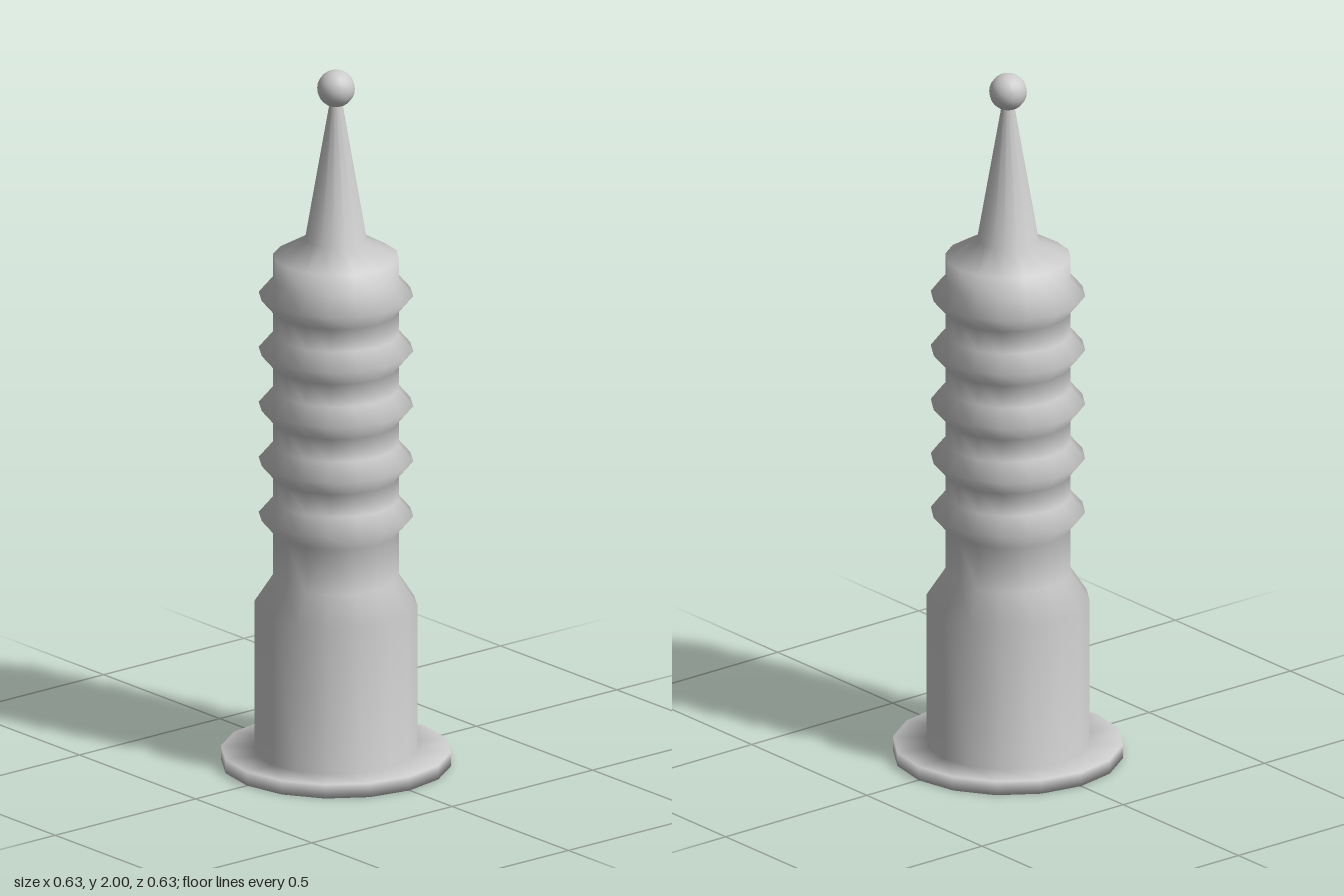
import * as THREE from 'three';

const SIDES = 16;

export function createModel() {
  const model = new THREE.Group();
  const material = new THREE.MeshStandardMaterial({ color: 0xcccccc });

  // Base flange, wide barrel and its sloped shoulder
  const profile = [
    [0, 0], [0.317, 0], [0.317, 0.04], [0.225, 0.04],
    [0.225, 0.46], [0.173, 0.54],
  ];

  // Five evenly spaced V-shaped ribs along the neck
  for (let i = 0; i < 5; i++) {
    const y = 0.718 + i * 0.159;
    profile.push([0.173, y - 0.047], [0.213, y], [0.173, y + 0.047]);
  }

  // Sloped cap and tapering spire
  profile.push([0.173, 1.465], [0.085, 1.515], [0.017, 1.91]);

  const body = new THREE.Mesh(
    new THREE.LatheGeometry(profile.map(([r, y]) => new THREE.Vector2(r, y)), SIDES),
    material,
  );
  body.name = 'ribbedBody';
  model.add(body);

  // Ball on the tip of the spire
  const ball = new THREE.Mesh(new THREE.SphereGeometry(0.052, SIDES, 12), material);
  ball.name = 'tipBall';
  ball.position.y = 1.948;
  model.add(ball);

  return model;
}
